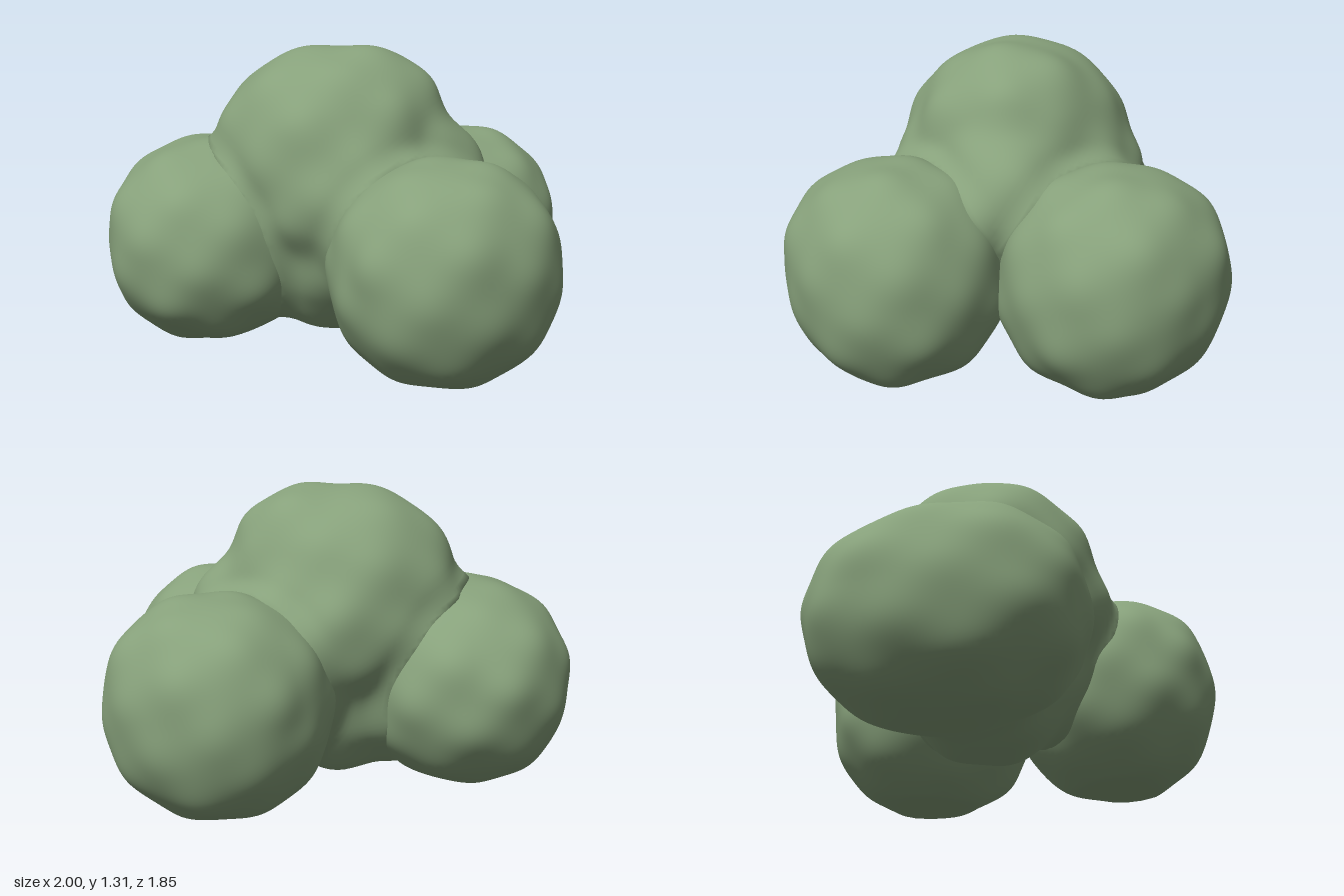
import * as THREE from 'three';
import { mergeVertices } from 'three/addons/utils/BufferGeometryUtils.js';

// Ellipsoid: centre, radii, turn about the vertical axis
const blob = (c, r, turn = 0) => ({ c: new THREE.Vector3(...c), r: new THREE.Vector3(...r), turn });

// Three low clumps around the crown; the front and back ones mirror each other
const CLUMPS = [
  { name: 'sideClump', phase: 1.3, flip: 1, ...blob([-0.53, 0.44, 0], [0.465, 0.45, 0.58]) },
  { name: 'frontClump', phase: 3, flip: 1, ...blob([0.527, 0.43, 0.45], [0.435, 0.46, 0.475], -0.87) },
  { name: 'backClump', phase: 3, flip: -1, ...blob([0.527, 0.43, -0.45], [0.435, 0.46, 0.475], 0.87) },
];

// Masses that melt together into the crown and its stem-like underside
const CROWN = [
  blob([-0.02, 0.84, 0], [0.49, 0.465, 0.49]),
  blob([0.2, 0.97, 0], [0.28, 0.3, 0.32]),
  blob([0.08, 0.68, 0], [0.46, 0.38, 0.55]),
  blob([0.41, 0.73, 0], [0.27, 0.28, 0.24]),
  blob([0.02, 0.45, 0], [0.42, 0.42, 0.41]),
];
const CROWN_CENTRE = new THREE.Vector3(0.08, 0.66, 0);
const UP = new THREE.Vector3(0, 1, 0);

// Approximate signed distance to an ellipsoid
function distanceTo(p, { c, r, turn }) {
  const q = p.clone().sub(c).applyAxisAngle(UP, -turn).divide(r);
  const k1 = q.length();
  const k2 = q.divide(r).length();
  return k2 < 1e-6 ? -0.3 : (k1 * (k1 - 1)) / k2;
}

function smoothMin(a, b, k) {
  const h = Math.max(k - Math.abs(a - b), 0) / k;
  return Math.min(a, b) - (h * h * k) / 4;
}

// Rounded bumps spread evenly over all directions, averaging zero
function bumpField(count, sharp, phase) {
  const bumps = Array.from({ length: count }, (_, i) => {
    const y = 1 - (2 * (i + 0.5)) / count;
    const a = i * 2.39996 + phase;
    const s = Math.sqrt(1 - y * y);
    const weight = 1 + 0.3 * Math.sin(i * 4.1 + phase);
    return { d: new THREE.Vector3(Math.cos(a) * s, y, Math.sin(a) * s), weight };
  });
  return (dir) =>
    bumps.reduce((sum, b) => sum + b.weight * Math.exp(sharp * (dir.dot(b.d) - 1)), 0) - count / (2 * sharp);
}

// Smooth ball whose vertices are placed by a rule from their direction
function shapedBall(place) {
  const raw = new THREE.IcosahedronGeometry(1, 24);
  raw.deleteAttribute('uv');
  raw.deleteAttribute('normal');
  const geometry = mergeVertices(raw, 1e-4);
  const position = geometry.attributes.position;
  const dir = new THREE.Vector3();
  for (let i = 0; i < position.count; i++) {
    dir.fromBufferAttribute(position, i).normalize();
    const p = place(dir);
    position.setXYZ(i, p.x, Math.max(p.y, 0), p.z);
  }
  geometry.computeVertexNormals();
  return geometry;
}

// Slightly boxy, lumpy ellipsoid
function clumpGeometry({ c, r, turn, phase, flip }) {
  const bump = bumpField(40, 36, phase);
  return shapedBall((dir) => {
    const power = 2.2;
    const sum = Math.abs(dir.x) ** power + Math.abs(dir.y) ** power + Math.abs(dir.z) ** power;
    const lump = bump(new THREE.Vector3(dir.x, dir.y, dir.z * flip));
    const scale = sum ** (-1 / power) + 0.038 * lump;
    return dir.clone().multiply(r).multiplyScalar(scale).applyAxisAngle(UP, turn).add(c);
  });
}

// Crown: march outward to the skin of the melted masses, flaring at the low clumps
function crownGeometry() {
  const bump = bumpField(56, 46, 0.6);
  const field = (p) => {
    const skin = CROWN.map((b) => distanceTo(p, b)).reduce((a, b) => smoothMin(a, b, 0.1));
    const near = Math.min(...CLUMPS.map((b) => Math.abs(distanceTo(p, b))));
    return skin - 0.45 * Math.max(0.1 - near, 0) ** 2 / 0.1;
  };
  return shapedBall((dir) => {
    const p = CROWN_CENTRE.clone();
    let t = 0.1;
    for (let step = 0; step < 28; step++) {
      p.copy(CROWN_CENTRE).addScaledVector(dir, t);
      t += 0.75 * Math.max(-0.1, -field(p));
    }
    return p.copy(CROWN_CENTRE).addScaledVector(dir, t + 0.024 * bump(dir));
  });
}

export function createModel() {
  const group = new THREE.Group();
  group.name = 'bush';
  const foliage = new THREE.MeshStandardMaterial({ color: 0x87a17b });
  foliage.name = 'foliage green';
  const add = (name, geometry) => {
    const mesh = new THREE.Mesh(geometry, foliage);
    mesh.name = name;
    group.add(mesh);
  };
  CLUMPS.forEach((clump) => add(clump.name, clumpGeometry(clump)));
  add('crown', crownGeometry());
  return group;
}
